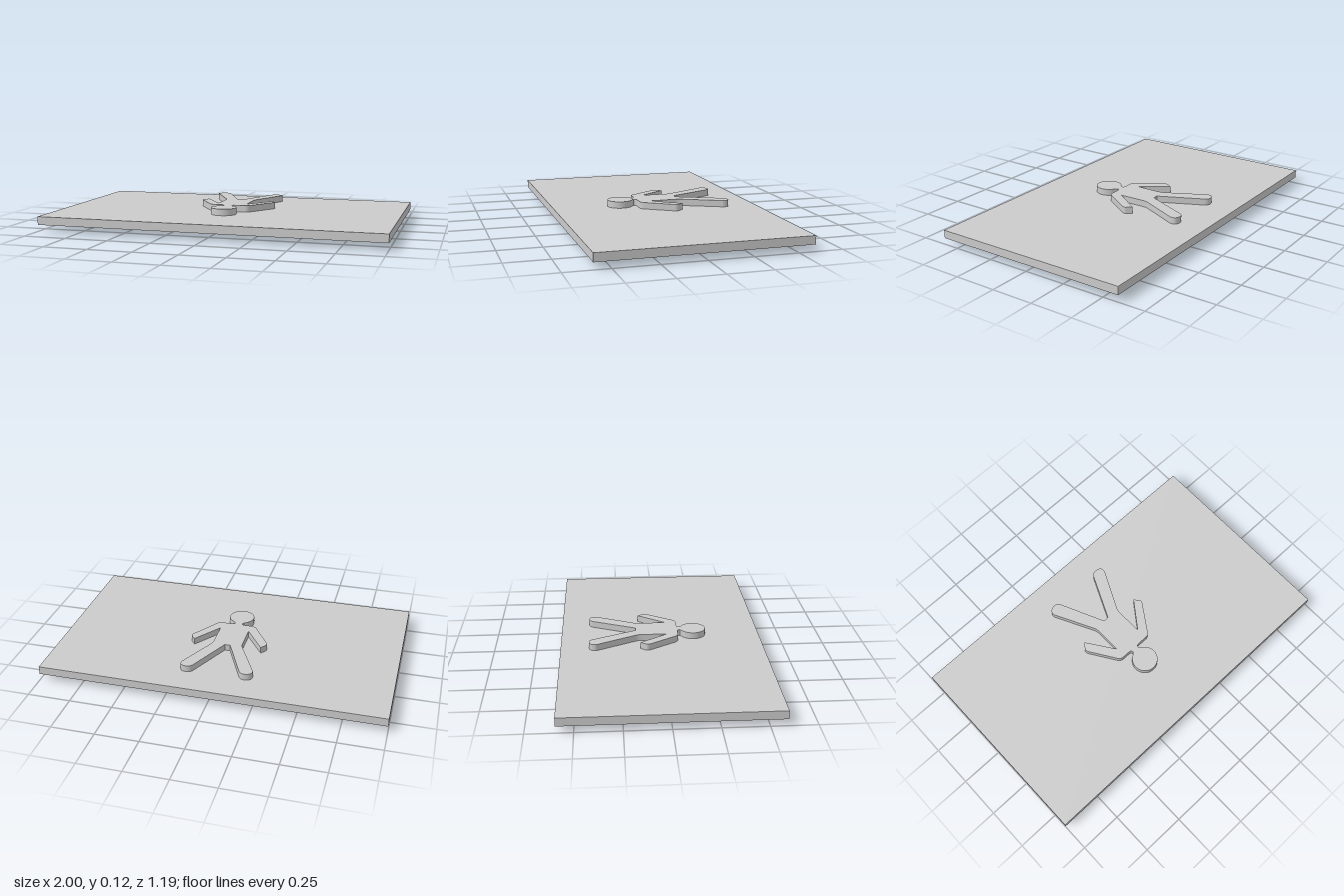
import * as THREE from 'three';

const material = new THREE.MeshStandardMaterial({ color: 0xcccccc });

// Outline in plan. Each step is [x, z] for a line or [cx, cz, x, z] for a rounded corner.
function trace(shape, steps) {
  for (const [a, b, c, d] of steps) {
    if (c === undefined) shape.lineTo(a, -b);
    else shape.quadraticCurveTo(a, -b, c, -d);
  }
}

function figureShape() {
  const s = new THREE.Shape();
  s.moveTo(-0.085, 0.11);
  // right arm, shoulder and neck
  trace(s, [
    [-0.085, 0.035], [-0.198, -0.128], [-0.222, -0.096],
    [-0.23, -0.085, -0.217, -0.064],
    [-0.122, 0.082], [-0.108, 0.1, -0.09, 0.1],
    [-0.043, 0.1], [-0.027, 0.1, -0.027, 0.117],
  ]);
  // head, open at the neck
  const neck = 0.46;
  s.absarc(-0.005, -0.195, 0.075, Math.PI / 2 + neck, Math.PI * 2.5 - neck, false);
  trace(s, [
    // neck, shoulder and left arm
    [0.018, 0.117], [0.018, 0.1, 0.035, 0.1],
    [0.095, 0.1], [0.115, 0.1, 0.127, 0.08],
    [0.23, -0.075], [0.237, -0.088, 0.232, -0.096],
    [0.207, -0.128], [0.09, 0.033],
    // left leg
    [0.088, -0.12], [0.088, -0.143, 0.097, -0.16],
    [0.206, -0.385], [0.213, -0.427, 0.168, -0.427],
    [0.142, -0.427, 0.13, -0.4], [0.014, -0.148],
    // right leg
    [-0.018, -0.148], [-0.135, -0.4],
    [-0.147, -0.427, -0.17, -0.427], [-0.216, -0.425, -0.213, -0.385],
    [-0.095, -0.155], [-0.085, -0.138, -0.085, -0.11],
  ]);
  return s;
}

export function createModel() {
  const group = new THREE.Group();

  // Flat rectangular slab
  const slab = new THREE.Mesh(new THREE.BoxGeometry(2, 0.048, 1.186), material);
  slab.name = 'slab';
  slab.position.y = 0.0625;
  group.add(slab);

  // Lying figure that stands out above and below the slab
  const geometry = new THREE.ExtrudeGeometry(figureShape(), {
    depth: 0.125, bevelEnabled: false, curveSegments: 20,
  });
  geometry.rotateX(-Math.PI / 2);
  const figure = new THREE.Mesh(geometry, material);
  figure.name = 'figure';
  group.add(figure);

  return group;
}
